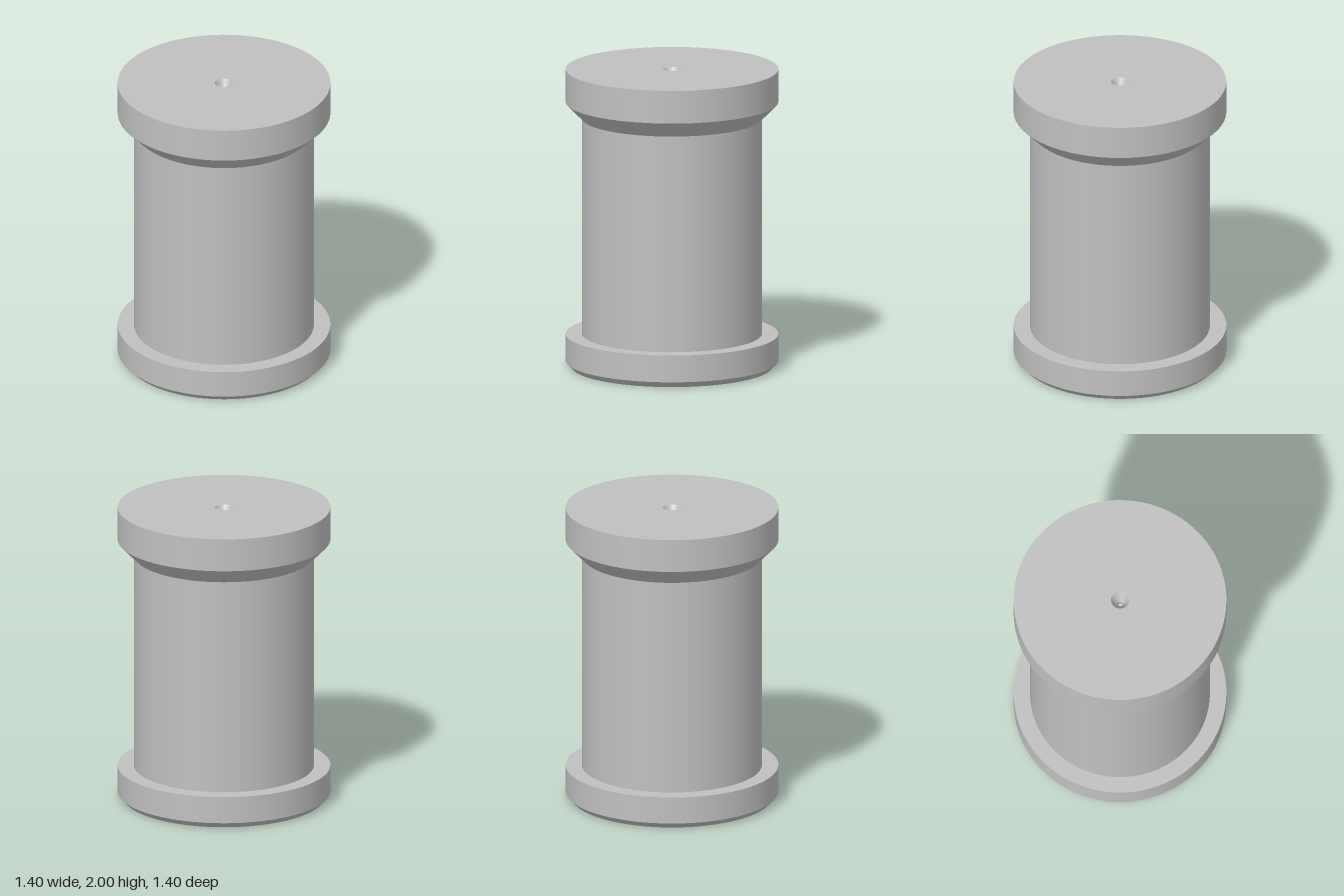
import * as THREE from 'three';

export function createModel() {
  const model = new THREE.Group();
  model.name = 'spool';
  const steel = new THREE.MeshStandardMaterial({ color: 0xc0c0c0 });
  steel.name = 'steel grey';

  // Each profile span is its own lathe, so edges stay crisp and walls smooth.
  function turned(name, points) {
    const part = new THREE.Group();
    part.name = name;
    for (let i = 0; i < points.length - 1; i++) {
      const span = [points[i], points[i + 1]].map(([r, y]) => new THREE.Vector2(r, y));
      const mesh = new THREE.Mesh(new THREE.LatheGeometry(span, 96), steel);
      mesh.name = `${name}Surface${i + 1}`;
      part.add(mesh);
    }
    model.add(part);
  }

  // Chamfered blind hole in the underside
  turned('bottomHole', [[0, 0.45], [0.097, 0.4], [0.097, 0.03], [0.127, 0]]);
  // Lower flange with a bevelled foot
  turned('lowerFlange', [[0.127, 0], [0.66, 0], [0.7, 0.04], [0.7, 0.22], [0.592, 0.22]]);
  // Straight barrel
  turned('barrel', [[0.592, 0.22], [0.592, 1.67]]);
  // Upper flange with a sloped underside
  turned('upperFlange', [[0.592, 1.67], [0.7, 1.78], [0.7, 2], [0.06, 2]]);
  // Countersunk centre hole with a small pilot
  turned('centreHole', [[0.06, 2], [0.015, 1.922], [0.015, 1.88], [0, 1.87]]);

  return model;
}
